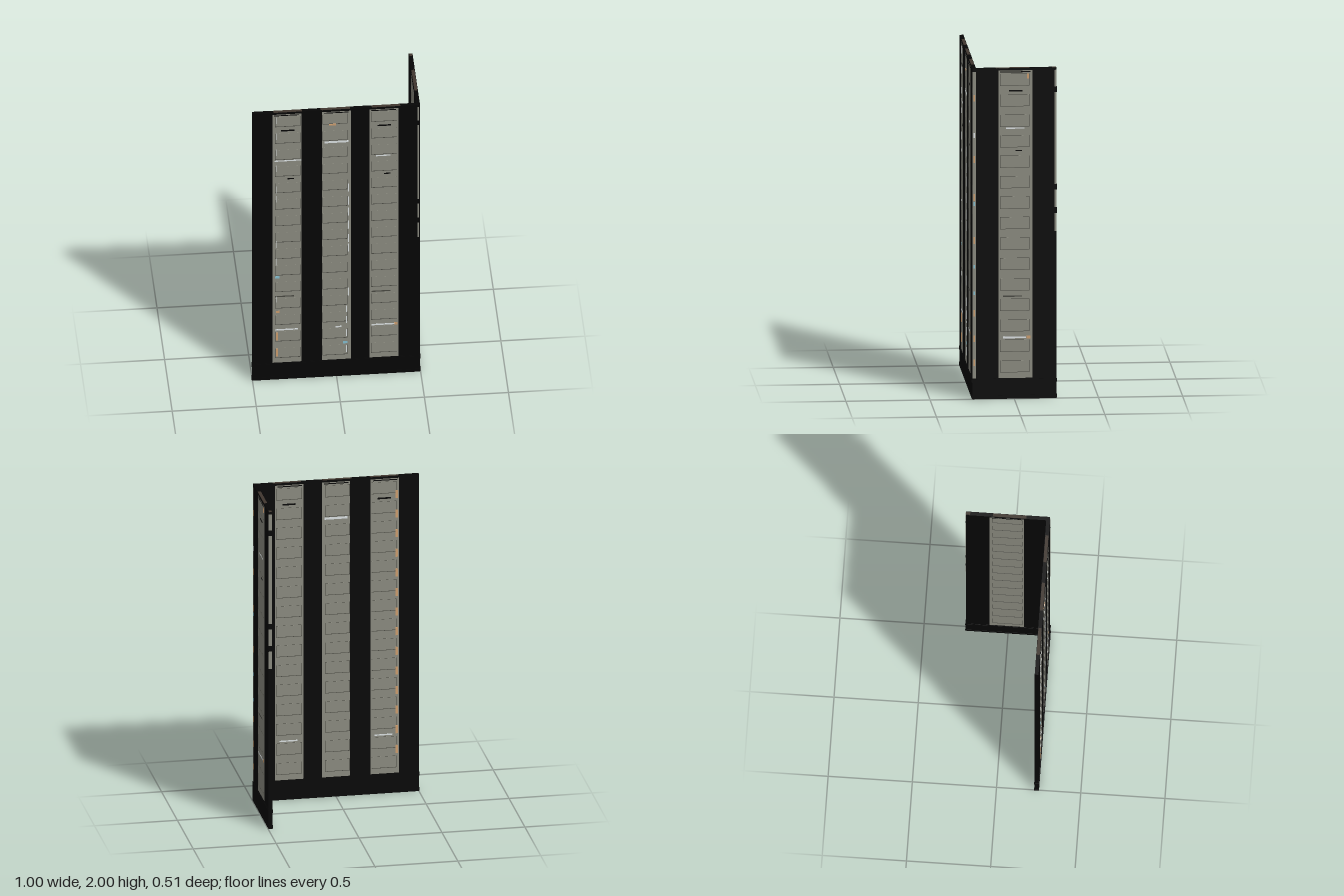
import * as THREE from 'three';

const flat = (name, color) => Object.assign(new THREE.MeshStandardMaterial({ color }), { name });
const black = flat('black metal', 0x060606);
const grey = flat('warm grey panel', 0x8d8d82);
const seam = flat('dark seam', 0x4a4a43);
const brown = flat('brown cap', 0x40372f);
const white = flat('white light', 0xe2e8ea);
const orange = flat('orange light', 0xd0a070);
const cyan = flat('cyan light', 0x86c2d4);

const BOTTOM = 0.125, TOP = 1.985, SLOTS = 15, PITCH = 0.1237, SLOT_Y = 0.159, SLOT_H = 0.074;

function box(parent, name, mat, x0, x1, y0, y1, z0, z1) {
  const mesh = new THREE.Mesh(new THREE.BoxGeometry(x1 - x0, y1 - y0, z1 - z0), mat);
  mesh.position.set((x0 + x1) / 2, (y0 + y1) / 2, (z0 + z1) / 2);
  mesh.name = name;
  parent.add(mesh);
}

// Grey plate with a column of shallow recessed slots, facing +z
function slottedPanel(parent, x0, x1, s0, s1) {
  const shape = new THREE.Shape();
  shape.moveTo(x0, BOTTOM).lineTo(x1, BOTTOM).lineTo(x1, TOP).lineTo(x0, TOP);
  for (let i = 0; i < SLOTS; i++) {
    const y = SLOT_Y + i * PITCH;
    const hole = new THREE.Path();
    hole.moveTo(s0, y).lineTo(s0, y + SLOT_H).lineTo(s1, y + SLOT_H).lineTo(s1, y);
    shape.holes.push(hole);
    box(parent, 'slotFloor', grey, s0 + 0.0025, s1 - 0.0025, y + 0.0025, y + SLOT_H - 0.0025, 0.006, 0.0085);
  }
  box(parent, 'panelBacking', seam, x0 + 0.002, x1 - 0.002, BOTTOM + 0.01, TOP - 0.01, 0.005, 0.0075);
  const plate = new THREE.Mesh(
    new THREE.ExtrudeGeometry(shape, { depth: 0.005, bevelEnabled: false }), [grey, seam]);
  plate.position.z = 0.006;
  plate.name = 'slottedPanel';
  parent.add(plate);
}

// Straight wall along x; panels are described by x, slot and cap extents
function makeWall(name, half, panels) {
  const wall = new THREE.Group();
  wall.name = name;
  box(wall, 'wallCore', black, -half, half, 0.02, 1.998, -0.006, 0.006);

  // Pillars between the panels
  let edge = -half;
  for (const p of [...panels, { x: [half, half] }]) {
    box(wall, 'pillar', black, edge, p.x[0], 0.1, 1.999, -0.0115, 0.0115);
    edge = p.x[1];
  }

  // Plinth with two projecting rails
  box(wall, 'plinth', black, -half, half, 0, BOTTOM, -0.0125, 0.0125);
  for (const y of [0.004, 0.1]) {
    box(wall, 'plinthRail', black, -half - 0.003, half + 0.003, y, y + 0.018, -0.0145, 0.0145);
  }

  // Panels on both faces, closed by a beam and a brown cap
  for (const { x, slot, cap } of panels) {
    box(wall, 'topBeam', black, ...x, TOP, 1.998, -0.0115, 0.0115);
    box(wall, 'topCap', brown, ...cap, 1.996, 2, -0.0095, 0.0095);
    slottedPanel(wall, ...x, ...slot);
    const inner = new THREE.Group();
    inner.name = 'innerPanel';
    inner.rotation.y = Math.PI;
    slottedPanel(inner, -x[1], -x[0], -slot[1], -slot[0]);
    wall.add(inner);
    for (const s of [1, -1]) band(wall, black, x[0] + 0.01, x[1] - 0.014, 1.976, 0.006, s);
  }
  return wall;
}

// Thin painted band centred on height y; s = 1 for the outer face, -1 for the inner
function band(wall, mat, x0, x1, y, h = 0.008, s = 1) {
  const z = [0.007 * s, 0.0118 * s].sort((a, b) => a - b);
  box(wall, 'indicator', mat, x0, x1, y - h / 2, y + h / 2, ...z);
}

// Bands shared by the panels, measured from the panel centre c
function commonBands(wall, c) {
  band(wall, black, c - 0.038, c + 0.042, 1.862, 0.01);
  band(wall, black, c, c + 0.04, 1.5);
  band(wall, seam, c - 0.075, c + 0.04, 0.62);
  band(wall, white, c - 0.075, c + 0.062, 0.37, 0.01);
}

export function createModel() {
  const model = new THREE.Group();
  model.name = 'cornerPanelWall';

  const front = makeWall('frontWall', 0.496, [
    { x: [-0.376, -0.203], slot: [-0.36, -0.208], cap: [-0.37, -0.2] },
    { x: [-0.08, 0.09], slot: [-0.078, 0.071], cap: [-0.09, 0.085] },
    { x: [0.2, 0.373], slot: [0.21, 0.366], cap: [0.215, 0.385] },
  ]);
  front.position.set(-0.005, 0, 0.238);
  model.add(front);

  // First panel: orange and cyan lamps, white ticks, orange lamps behind
  commonBands(front, -0.287);
  band(front, white, -0.365, -0.203, 1.636);
  for (const y of [0.2, 0.32]) band(front, orange, -0.356, -0.342, y, 0.055);
  band(front, orange, -0.355, -0.335, 0.505, 0.016);
  band(front, cyan, -0.36, -0.335, 0.765, 0.016);
  for (const y of [0.6, 0.88, 1.01, 1.35, 1.42, 1.58, 1.7, 1.82, 1.94]) {
    band(front, white, -0.352, -0.348, y, 0.05);
  }
  for (let i = 0; i < 14; i++) band(front, orange, -0.368, -0.354, 0.275 + i * PITCH, 0.05, -1);

  // Middle panel: bright band on both faces and a column of white ticks
  for (const s of [1, -1]) band(front, white, -0.065, 0.075, 1.757, 0.014, s);
  band(front, orange, -0.04, 0.003, 1.886, 0.01);
  band(front, white, 0, 0.035, 0.37, 0.01);
  band(front, cyan, 0.045, 0.07, 0.25, 0.016);
  for (const y of [0.2, 0.32, 0.42, 0.5]) band(front, white, 0.061, 0.066, y, 0.05);
  for (const y of [0.63, 0.96, 1.03, 1.13, 1.23, 1.31, 1.41]) band(front, white, 0.074, 0.078, y, 0.06);

  // Third panel
  commonBands(front, 0.287);
  band(front, white, 0.24, 0.325, 1.636);
  band(front, orange, 0.347, 0.368, 0.37, 0.018);

  // Bands behind the outer two panels
  for (const c of [-0.287, 0.287]) {
    band(front, black, c - 0.038, c + 0.042, 1.862, 0.01, -1);
    band(front, white, c - 0.05, c + 0.06, 0.37, 0.008, -1);
  }

  const side = makeWall('sideWall', 0.25, [
    { x: [-0.095, 0.109], slot: [-0.086, 0.09], cap: [-0.11, 0.09] },
  ]);
  side.rotation.y = Math.PI / 2;
  side.position.set(0.4855, 0, -0.001);
  model.add(side);
  commonBands(side, 0.006);
  band(side, white, -0.05, 0.06, 1.636);
  band(side, orange, 0.072, 0.095, 0.37, 0.018);
  band(side, orange, 0.075, 0.088, 1.95, 0.03);

  // Grey strip down the corner with coloured lamps
  box(model, 'cornerStrip', grey, 0.49, 0.4975, 0.125, 1.98, 0.228, 0.2485);
  const lamp = (mat, y, h) => box(model, 'cornerLamp', mat, 0.49, 0.498, y, y + h, 0.234, 0.243);
  for (const y of [0.2, 0.345, 0.5, 0.94, 1.2, 1.43, 1.8]) lamp(orange, y, 0.04);
  for (const y of [0.63, 0.79, 1.17]) lamp(cyan, y, 0.022);
  lamp(white, 1.58, 0.03);

  // Upper grey strips on the corner front and the free end, broken by black clips
  box(model, 'frontEdgeStrip', grey, 0.482, 0.4915, 1.01, 1.985, 0.24, 0.2505);
  box(model, 'endStrip', grey, 0.477, 0.4975, 1.01, 1.985, -0.2525, -0.24);
  for (const y of [1.12, 1.26, 1.85]) {
    box(model, 'frontEdgeClip', black, 0.482, 0.492, y, y + 0.035, 0.24, 0.251);
    box(model, 'endClip', black, 0.4765, 0.498, y, y + 0.035, -0.253, -0.2395);
  }
  box(model, 'endCap', brown, 0.477, 0.494, 1.99, 2, -0.25, -0.225);
  return model;
}
